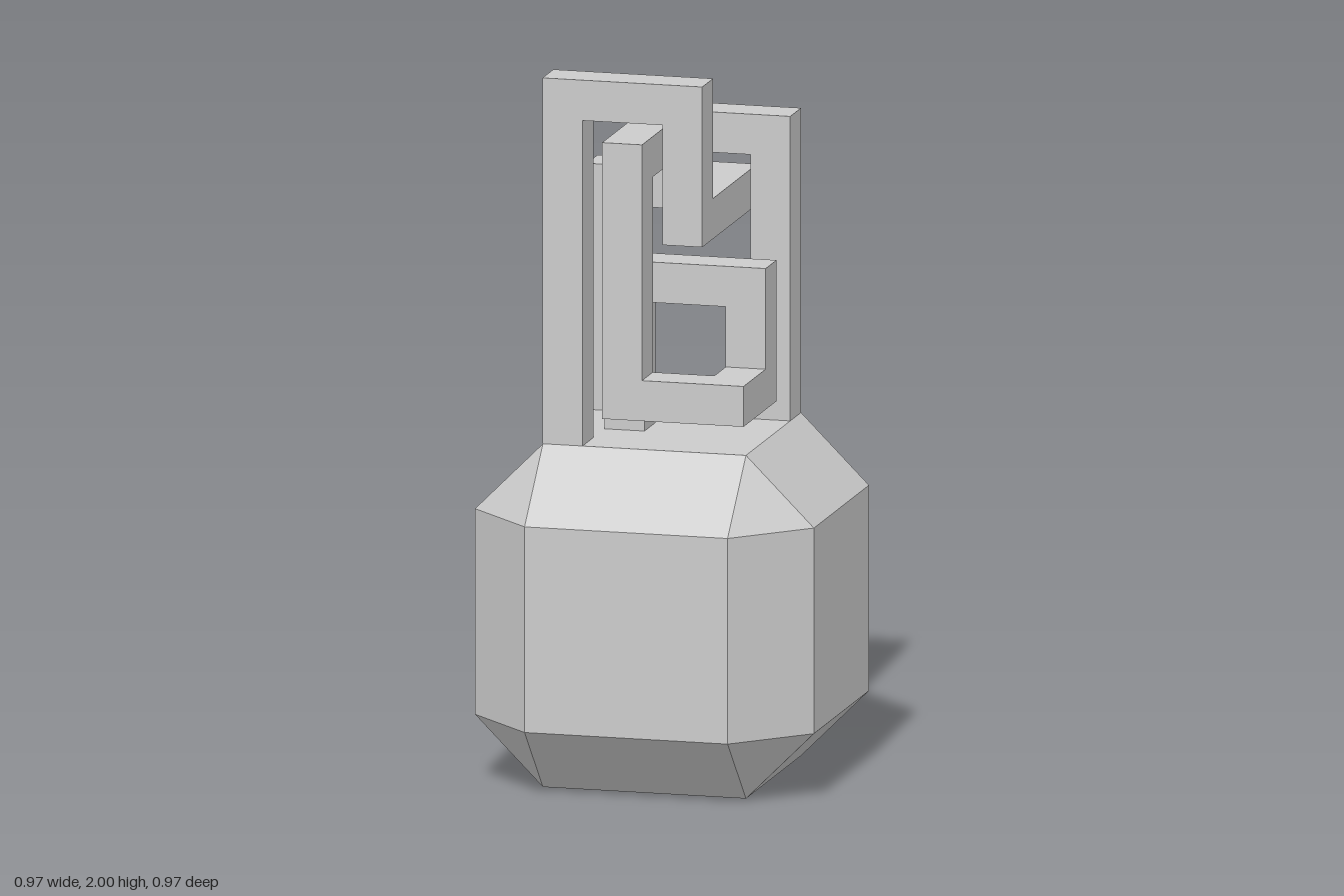
import * as THREE from 'three';
import { ConvexGeometry } from 'three/addons/geometries/ConvexGeometry.js';

const HALF_BAR = 0.057;

// Square bar swept along a path of right-angled turns, with mitred corners.
// The path must start by going straight up.
function barGeometry(path) {
  const pts = path.map((p) => new THREE.Vector3(...p));
  const dirs = pts.slice(1).map((p, i) => p.clone().sub(pts[i]).normalize());
  let offsets = [[1, 1], [1, -1], [-1, -1], [-1, 1]]
    .map(([x, z]) => new THREE.Vector3(x * HALF_BAR, 0, z * HALF_BAR))
    .reverse();
  // keep the ring counter-clockwise about +y
  if (offsets[0].clone().cross(offsets[1]).y < 0) offsets.reverse();

  const rings = [offsets.map((o) => o.clone().add(pts[0]))];
  dirs.forEach((d, k) => {
    const next = dirs[k + 1];
    offsets = offsets.map((o) => {
      const flat = o.clone().addScaledVector(d, -o.dot(d));
      return next ? flat.addScaledVector(d, -flat.dot(next)) : flat;
    });
    rings.push(offsets.map((o) => o.clone().add(pts[k + 1])));
  });

  const tris = [];
  for (let k = 0; k < rings.length - 1; k++) {
    for (let i = 0; i < 4; i++) {
      const j = (i + 1) % 4;
      const [a, b, c, d] = [rings[k][i], rings[k][j], rings[k + 1][j], rings[k + 1][i]];
      tris.push(a, b, c, a, c, d);
    }
  }
  const geometry = new THREE.BufferGeometry().setFromPoints(tris);
  geometry.computeVertexNormals();
  return geometry;
}

// Cube with all edges and corners cut off
function bodyGeometry(inner, outer) {
  const points = [];
  for (const x of [-1, 1]) for (const y of [-1, 1]) for (const z of [-1, 1]) {
    for (let axis = 0; axis < 3; axis++) {
      const s = [inner, inner, inner];
      s[axis] = outer;
      points.push(new THREE.Vector3(x * s[0], y * s[1], z * s[2]));
    }
  }
  return new ConvexGeometry(points);
}

export function createModel() {
  const model = new THREE.Group();
  const material = new THREE.MeshStandardMaterial({ color: 0xcccccc, flatShading: true });
  const add = (name, geometry) => {
    const mesh = new THREE.Mesh(geometry, material);
    mesh.name = name;
    model.add(mesh);
    return mesh;
  };

  // Body
  const outer = 0.484;
  add('body', bodyGeometry(0.29, outer)).position.y = outer;
  const top = outer * 2;

  // Tall bar: front post, over, down, to the back and down again
  add('tallBar', barGeometry([
    [-0.234, top, 0.233], [-0.234, 1.943, 0.233], [0.108, 1.943, 0.233],
    [0.108, 1.605, 0.233], [0.108, 1.605, -0.233], [-0.234, 1.605, -0.233],
    [-0.234, top, -0.233],
  ]));

  // Winding bar: back post, forward, down and curling into the middle
  add('windingBar', barGeometry([
    [0.233, top, -0.233], [0.233, 1.77, -0.233], [-0.064, 1.77, -0.233],
    [-0.064, 1.77, 0.233], [-0.064, 1.105, 0.233], [0.226, 1.105, 0.233],
    [0.226, 1.105, 0], [0.226, 1.389, 0], [-0.12, 1.389, 0], [-0.12, top, 0],
  ]));

  return model;
}
